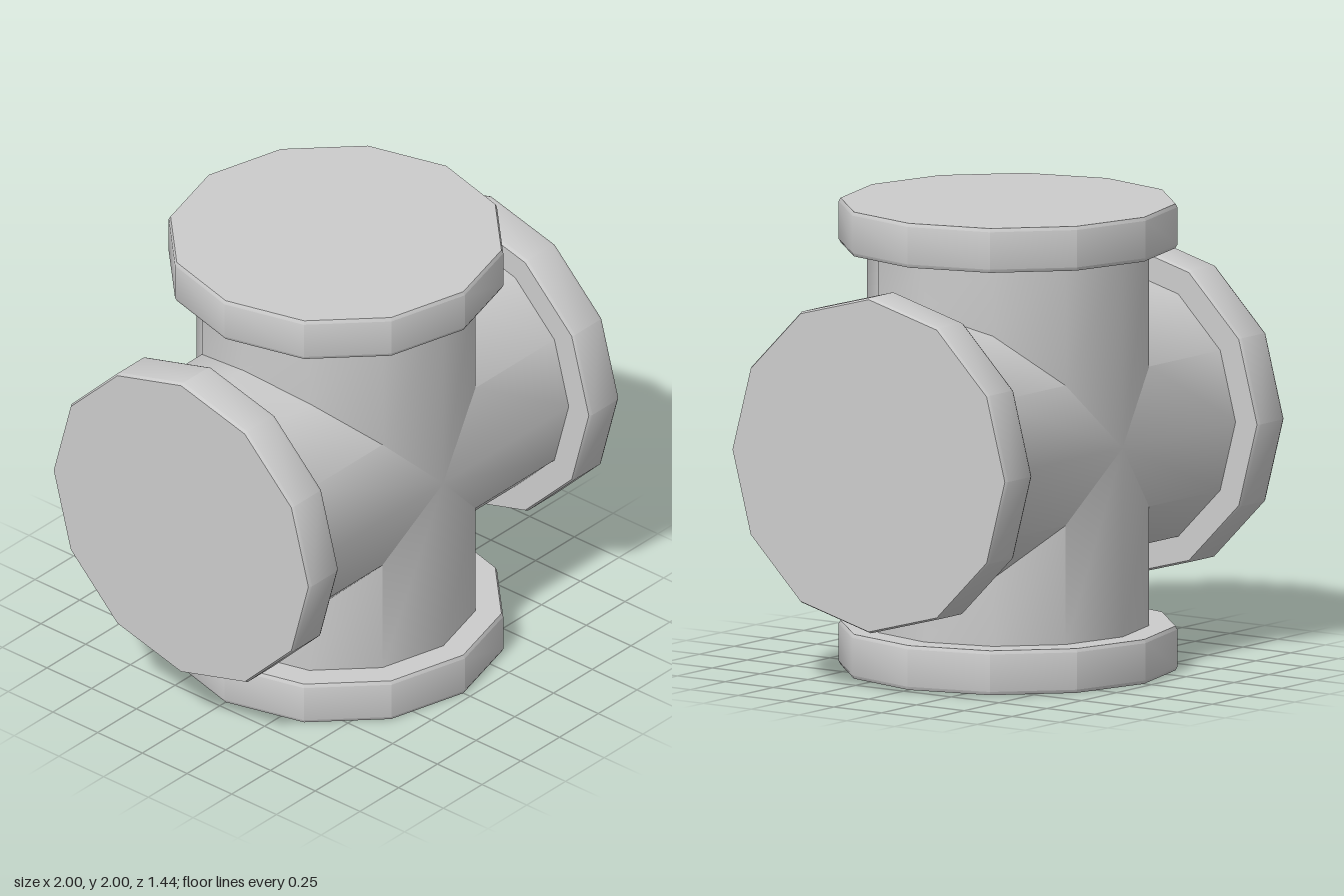
import * as THREE from 'three';
import { mergeGeometries, toCreasedNormals } from 'three/addons/utils/BufferGeometryUtils.js';

const SIDES = 12;
const PIPE_R = 0.6;
const FLANGE_R = 0.72;
const FLANGE_IN = 0.81; // distance from the centre to the flange's inner face

// One pipe arm along +y, its inner end mitred at 45 degrees to meet its neighbours
function armGeometry() {
  const geo = new THREE.CylinderGeometry(PIPE_R, PIPE_R, 2, SIDES, 1, true);
  const p = geo.attributes.position;
  for (let i = 0; i < p.count; i++) {
    p.setY(i, p.getY(i) > 0 ? FLANGE_IN + 0.01 : Math.abs(p.getX(i)));
  }
  return geo;
}

// Closed end flange with slightly softened rims
function flangeGeometry() {
  const profile = [
    [0.56, FLANGE_IN],
    [FLANGE_R - 0.008, FLANGE_IN],
    [FLANGE_R, FLANGE_IN + 0.015],
    [FLANGE_R, 0.985],
    [FLANGE_R - 0.008, 1],
    [0, 1],
  ].map(([r, y]) => new THREE.Vector2(r, y));
  return toCreasedNormals(new THREE.LatheGeometry(profile, SIDES), 0.6);
}

export function createModel() {
  const model = new THREE.Group();
  model.name = 'pipeCross';
  const material = new THREE.MeshStandardMaterial({ color: 0xcccccc });

  const arms = [];
  const flange = flangeGeometry();
  ['topFlange', 'rightFlange', 'bottomFlange', 'leftFlange'].forEach((name, i) => {
    const angle = (i * Math.PI) / 2;
    arms.push(armGeometry().rotateZ(angle));
    const mesh = new THREE.Mesh(flange, material);
    mesh.name = name;
    mesh.position.y = 1;
    mesh.rotation.z = angle;
    model.add(mesh);
  });

  // Four arms joined into one body, creased only where they meet sharply
  const body = new THREE.Mesh(toCreasedNormals(mergeGeometries(arms), 0.8), material);
  body.name = 'pipeBody';
  body.position.y = 1;
  model.add(body);

  return model;
}
